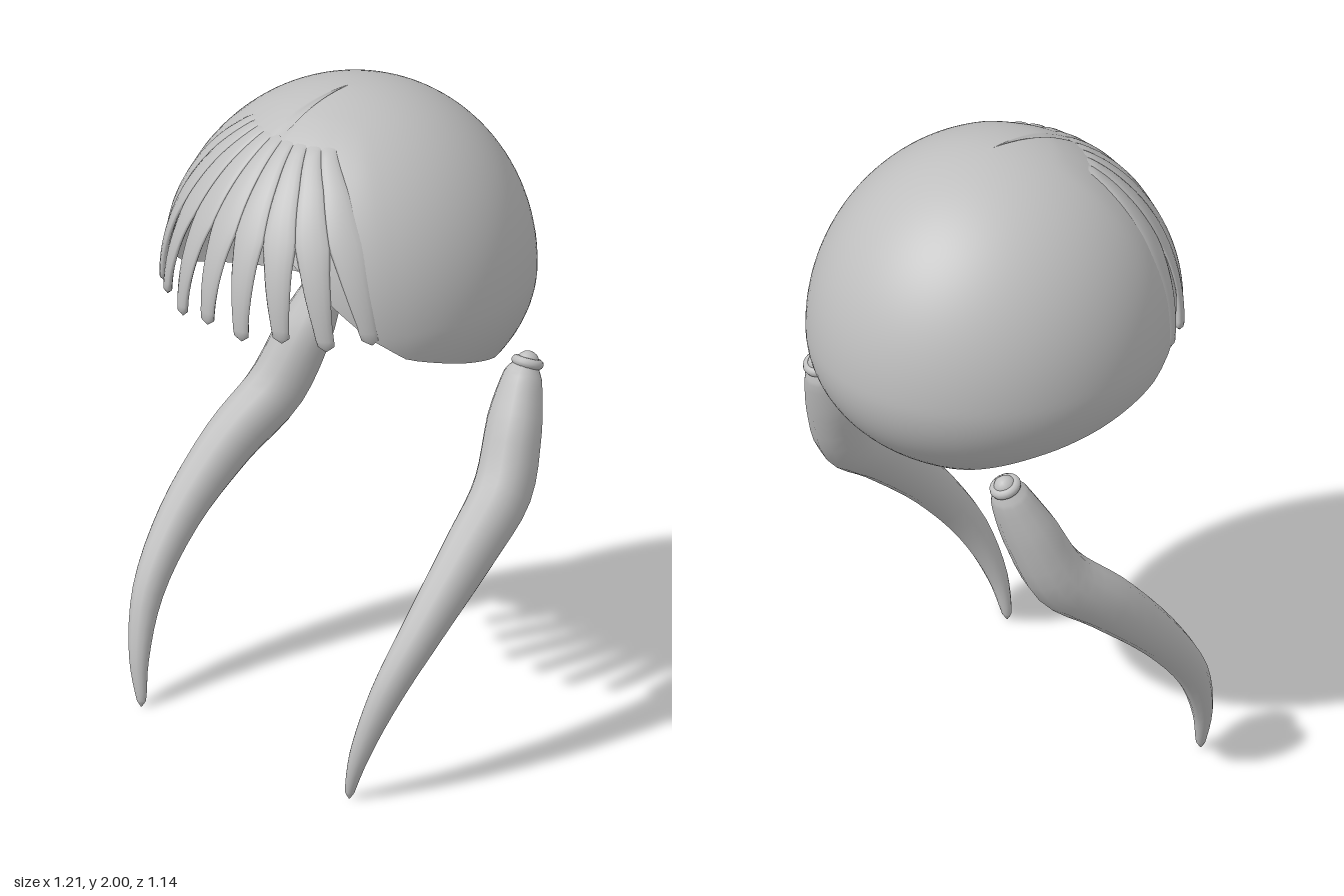
import * as THREE from 'three';

const hairGrey = new THREE.MeshStandardMaterial({ color: 0xbfbfbf, side: THREE.DoubleSide });
hairGrey.name = 'hair grey';
const RAD = Math.PI / 180;
const V = (x, y, z) => new THREE.Vector3(x, y, z);

// Point on the egg-shaped head: theta down from the crown, phi round from the front
function onHead(theta, phi, r = 1) {
  const c = Math.cos(theta * RAD), s = Math.sin(theta * RAD);
  return V(0.525 * r * s * Math.sin(phi * RAD),
    1.42 + (c > 0 ? 0.58 : 0.41) * r * c,
    0.565 * r * s * Math.cos(phi * RAD));
}

// Linear interpolation through [key, value] pairs
function sample(pairs, k) {
  for (let i = 1; i < pairs.length; i++) {
    const [k0, v0] = pairs[i - 1], [k1, v1] = pairs[i];
    if (k <= k1) return v0 + (v1 - v0) * Math.max(0, (k - k0) / (k1 - k0));
  }
  return pairs[pairs.length - 1][1];
}

// Skin a list of closed rings that share one point count
function loft(name, rings) {
  const n = rings[0].length, index = [];
  for (let i = 0; i < rings.length - 1; i++) {
    for (let j = 0; j < n; j++) {
      const a = i * n + j, b = i * n + (j + 1) % n;
      index.push(a, a + n, b, b, a + n, b + n);
    }
  }
  const geometry = new THREE.BufferGeometry().setFromPoints(rings.flat());
  geometry.setIndex(index);
  geometry.computeVertexNormals();
  const mesh = new THREE.Mesh(geometry, hairGrey);
  mesh.name = name;
  return mesh;
}

// Open cap: rim high over the forehead and low at the nape, with a parting groove
function makeCap() {
  const rim = [[0, 60], [25, 63], [45, 80], [60, 93], [68, 101], [90, 111], [114, 121], [139, 135], [160, 142], [180, 144]];
  const rows = 48, cols = 96, rings = [];
  for (let i = 0; i <= rows; i++) {
    const ring = [];
    for (let j = 0; j < cols; j++) {
      const phi = j * 360 / cols, around = Math.min(phi, 360 - phi);
      const theta = Math.max(0.05, sample(rim, around) * i / rows);
      let r = 1 - 0.018 * sample([[0, 0], [20, 0], [40, 1]], theta) * sample([[40, 1], [58, 0]], around);
      if (j === 0) r -= 0.022 * sample([[0, 0], [4, 0.8], [25, 1], [33, 0]], theta);
      ring.push(onHead(theta, phi, r));
    }
    rings.push(ring);
  }
  return loft('hairCap', rings);
}

// One fringe strand: joined to its neighbours above, a free rounded finger below
function makeStrand(k) {
  const end = k % 2 ? 95 : 92.5, rows = 26, sides = 12, rings = [];
  for (let i = 0; i <= rows; i++) {
    const t = i / rows, theta = 29.5 + (end - 29.5) * t;
    const step = sample([[30, 9.2], [45, 11], [66, 12.5], [92, 14.2]], theta);
    let width = sample([[30, 4.8], [45, 5.7], [62, 6.4], [70, 5], [86, 3.1], [96, 2.5]], theta);
    const tipRound = Math.sqrt(Math.max(0, 1 - Math.pow(Math.max(0, (t - 0.95) / 0.05), 2)));
    width *= Math.max(0.03, tipRound);
    const thick = (i === 0 ? 0.001 : sample([[30, 0.012], [60, 0.016], [95, 0.024]], theta)) * Math.max(0.05, tipRound);
    const ring = [];
    for (let j = 0; j < sides; j++) {
      const a = j / sides * Math.PI * 2;
      ring.push(onHead(theta, k * step - width * Math.cos(a), 0.987 + thick * Math.sin(a)));
    }
    rings.push(ring);
  }
  return loft('fringeStrand', rings);
}

// Pigtail: oval sections swept along an S-bend that swings forward
function makePigtail(side) {
  const stations = [ // x, y, z, half width, half depth
    [0.43, 1.165, -0.305, 0.036, 0.036], [0.432, 1.13, -0.29, 0.06, 0.058], [0.455, 1.0, -0.235, 0.088, 0.082],
    [0.492, 0.83, -0.155, 0.09, 0.092], [0.523, 0.695, 0, 0.079, 0.085], [0.533, 0.51, 0.185, 0.063, 0.066],
    [0.513, 0.32, 0.325, 0.047, 0.05], [0.476, 0.14, 0.394, 0.031, 0.03], [0.45, 0.02, 0.408, 0.014, 0.014],
    [0.449, 0.0, 0.409, 0.002, 0.002]];
  const path = new THREE.CatmullRomCurve3(stations.map(s => V(s[0] * side, s[1], s[2])));
  const size = new THREE.CatmullRomCurve3(stations.map(s => V(s[3], s[4], 0)));
  const rows = 36, sides = 12, rings = [];
  for (let i = 0; i <= rows; i++) {
    const p = path.getPoint(i / rows), t = path.getTangent(i / rows), r = size.getPoint(i / rows);
    const depth = V(0, t.z, -t.y).normalize();
    const ring = [];
    for (let j = 0; j < sides; j++) {
      const a = j / sides * Math.PI * 2;
      ring.push(p.clone().add(V(r.x * Math.sin(a), 0, 0)).addScaledVector(depth, r.y * Math.cos(a)));
    }
    rings.push(ring);
  }
  return loft(side > 0 ? 'leftPigtail' : 'rightPigtail', rings);
}

// Hair tie: a ring round a small knot where the pigtail meets the cap
function makeTie(side) {
  const tie = new THREE.Group();
  tie.name = side > 0 ? 'leftHairTie' : 'rightHairTie';
  const band = new THREE.Mesh(new THREE.TorusGeometry(0.033, 0.015, 10, 24), hairGrey);
  band.name = 'tieBand';
  const knot = new THREE.Mesh(new THREE.SphereGeometry(0.034, 16, 12), hairGrey);
  knot.name = 'tieKnot';
  tie.add(band, knot);
  tie.position.set(0.432 * side, 1.168, -0.307);
  tie.quaternion.setFromUnitVectors(V(0, 0, 1), V(0.05 * side, -0.92, 0.38).normalize());
  return tie;
}

export function createModel() {
  const model = new THREE.Group();
  model.name = 'pigtailHair';
  model.add(makeCap());
  const fringe = new THREE.Group();
  fringe.name = 'fringe';
  for (let k = -4; k <= 4; k++) fringe.add(makeStrand(k));
  model.add(fringe);
  for (const side of [1, -1]) model.add(makePigtail(side), makeTie(side));
  return model;
}
